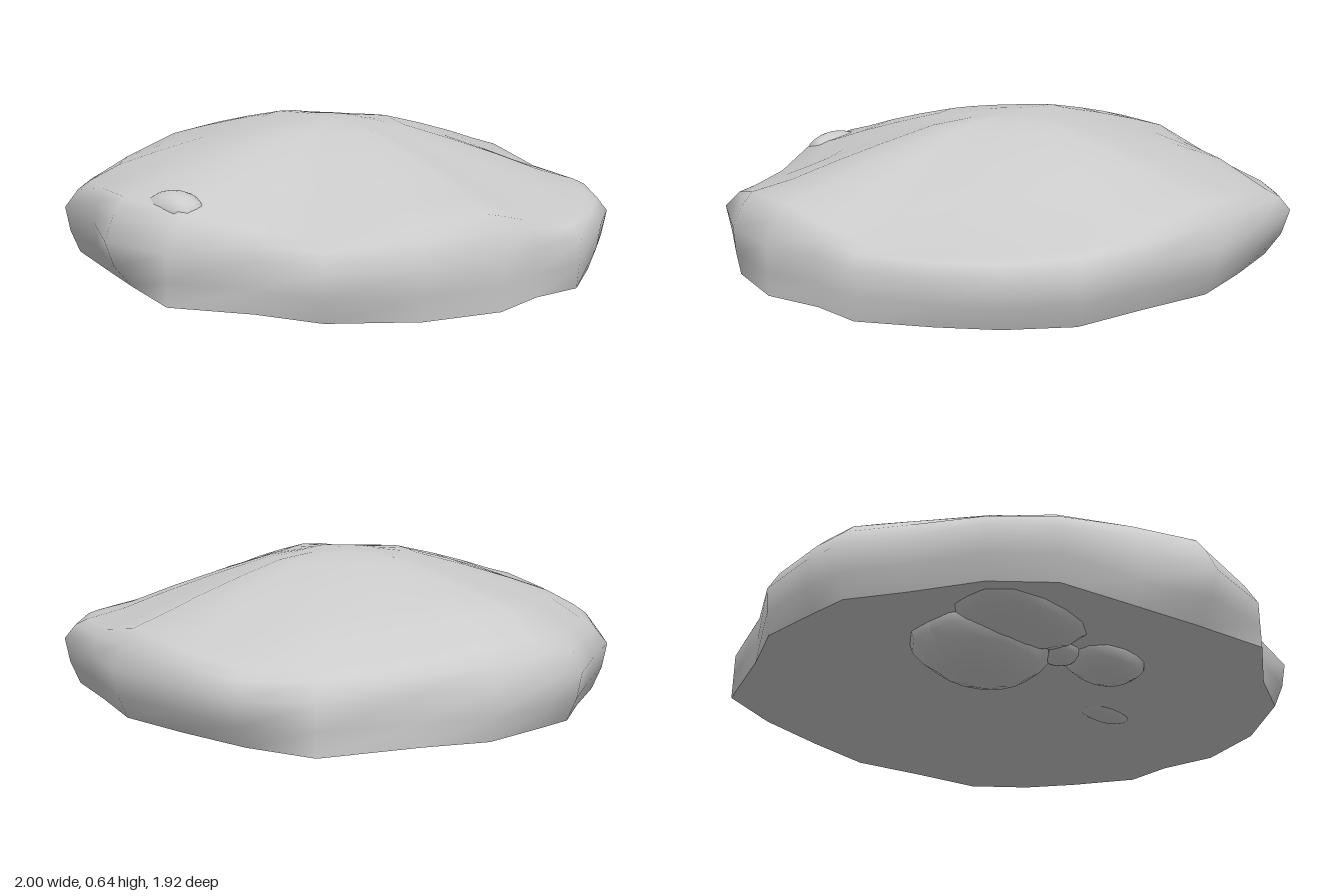
import * as THREE from 'three';

const material = new THREE.MeshStandardMaterial({ color: 0xcccccc, roughness: 0.9 });

// Widest outline, clockwise from the back as seen from above:
// x, z, scale at the foot, scale at the shoulder, height of the shoulder
const outline = [
  [0, -0.96, 0.95, 0.92, 0.44], [0.28, -0.9, 0.95, 0.93, 0.39], [0.56, -0.85, 0.95, 0.92, 0.38],
  [0.75, -0.69, 0.95, 0.93, 0.37], [0.87, -0.51, 0.96, 0.93, 0.36], [0.98, -0.27, 0.99, 0.92, 0.36],
  [0.96, -0.08, 1, 0.94, 0.39], [1, 0.13, 1, 0.92, 0.44], [0.94, 0.4, 0.98, 0.93, 0.43],
  [0.78, 0.67, 0.95, 0.9, 0.38], [0.53, 0.74, 1, 0.94, 0.39], [0.29, 0.91, 1, 0.91, 0.43],
  [0, 0.96, 0.9, 0.92, 0.45], [-0.26, 0.85, 0.96, 0.96, 0.43], [-0.56, 0.8, 0.95, 0.9, 0.41],
  [-0.74, 0.64, 0.95, 0.9, 0.4], [-0.87, 0.41, 0.95, 0.92, 0.41], [-0.99, 0.22, 0.95, 0.92, 0.42],
  [-1, 0.07, 0.95, 0.91, 0.43], [-0.98, -0.17, 0.98, 0.92, 0.42], [-0.87, -0.38, 1, 0.95, 0.39],
  [-0.76, -0.7, 1, 0.88, 0.38], [-0.58, -0.87, 0.92, 0.92, 0.38], [-0.28, -0.92, 0.94, 0.93, 0.41],
];

// Rings of the dome above the shoulder: scale, height
const dome = [[0.8, 0.497], [0.65, 0.54], [0.48, 0.582], [0.29, 0.623], [0.12, 0.633]];
const BASE_Y = 0.14;

// One column of points, from the foot up to the crown
function column([x, z, foot, shoulder, shoulderY]) {
  const at = (s, y) => [x * s, y, z * s];
  const points = [
    at(foot, BASE_Y),
    at((foot + 2) / 3, 0.22),
    at(1, 0.31),
    at((1 + shoulder) / 2, (0.31 + shoulderY) / 2 + 0.015),
    at(shoulder, shoulderY),
  ];
  // The dome grows rounder inwards and leans down towards the left, front and back
  dome.forEach(([s, y], i) => {
    const inward = (i + 1) / dome.length;
    const k = s * THREE.MathUtils.lerp(1, 0.95 / Math.hypot(x, z), inward);
    const drop = (shoulderY - 0.44) * (1 - inward);
    points.push(at(k, y + drop - 0.025 * x * k - 0.03 * Math.abs(z * k)));
  });
  return points;
}

function makeGeometry(positions, indices) {
  const g = new THREE.BufferGeometry();
  g.setAttribute('position', new THREE.Float32BufferAttribute(positions, 3));
  g.setIndex(indices);
  g.computeVertexNormals();
  return g;
}

// Domed upper shell with smooth shading
function shellGeometry(columns) {
  const n = columns.length, rings = columns[0].length, indices = [];
  const positions = columns.flat(2);
  positions.push(0, 0.635, 0);
  const crown = n * rings;
  for (let i = 0; i < n; i++) {
    const a = i * rings, b = ((i + 1) % n) * rings;
    for (let r = 0; r < rings - 1; r++) {
      indices.push(b + r, a + r, a + r + 1, b + r, a + r + 1, b + r + 1);
    }
    indices.push(b + rings - 1, a + rings - 1, crown);
  }
  return makeGeometry(positions, indices);
}

// Flat underside
function baseGeometry(columns) {
  const n = columns.length, positions = [0, BASE_Y, 0], indices = [];
  columns.forEach((points, i) => {
    positions.push(...points[0]);
    indices.push(0, i + 1, ((i + 1) % n) + 1);
  });
  return makeGeometry(positions, indices);
}

// Softly lumpy ellipsoid
function lumpGeometry(rx, ry, rz, wobble) {
  const g = new THREE.SphereGeometry(1, 14, 10);
  const p = g.attributes.position;
  for (let i = 0; i < p.count; i++) {
    const x = p.getX(i), y = p.getY(i), z = p.getZ(i);
    const k = 1 + wobble * Math.sin(3 * x + 1) * Math.cos(4 * z) * (1 - y * y);
    p.setXYZ(i, x * rx * k, y * ry, z * rz * k);
  }
  g.computeVertexNormals();
  return g;
}

export function createModel() {
  const group = new THREE.Group();
  group.name = 'stone';
  const add = (name, geometry, position = [0, 0, 0]) => {
    const mesh = new THREE.Mesh(geometry, material);
    mesh.name = name;
    mesh.position.set(...position);
    group.add(mesh);
  };

  const columns = outline.map(column);
  add('shell', shellGeometry(columns));
  add('base', baseGeometry(columns));

  // Lumps hanging below the base: name, radii, centre
  const lumps = [
    ['largeLump', [0.26, 0.16, 0.22], [-0.41, 0.16, 0.28]],
    ['frontLump', [0.27, 0.09, 0.17], [-0.44, 0.17, 0.5]],
    ['neckLump', [0.09, 0.07, 0.08], [-0.18, 0.165, 0.41]],
    ['middleLump', [0.16, 0.09, 0.13], [0, 0.16, 0.46]],
    ['smallLump', [0.13, 0.04, 0.07], [0.35, 0.16, 0.14]],
  ];
  for (const [name, radii, centre] of lumps) add(name, lumpGeometry(...radii, 0.08), centre);

  // Slight swelling on the upper front
  add('frontSwelling', lumpGeometry(0.13, 0.06, 0.08, 0.15), [0.16, 0.42, 0.78]);
  return group;
}
